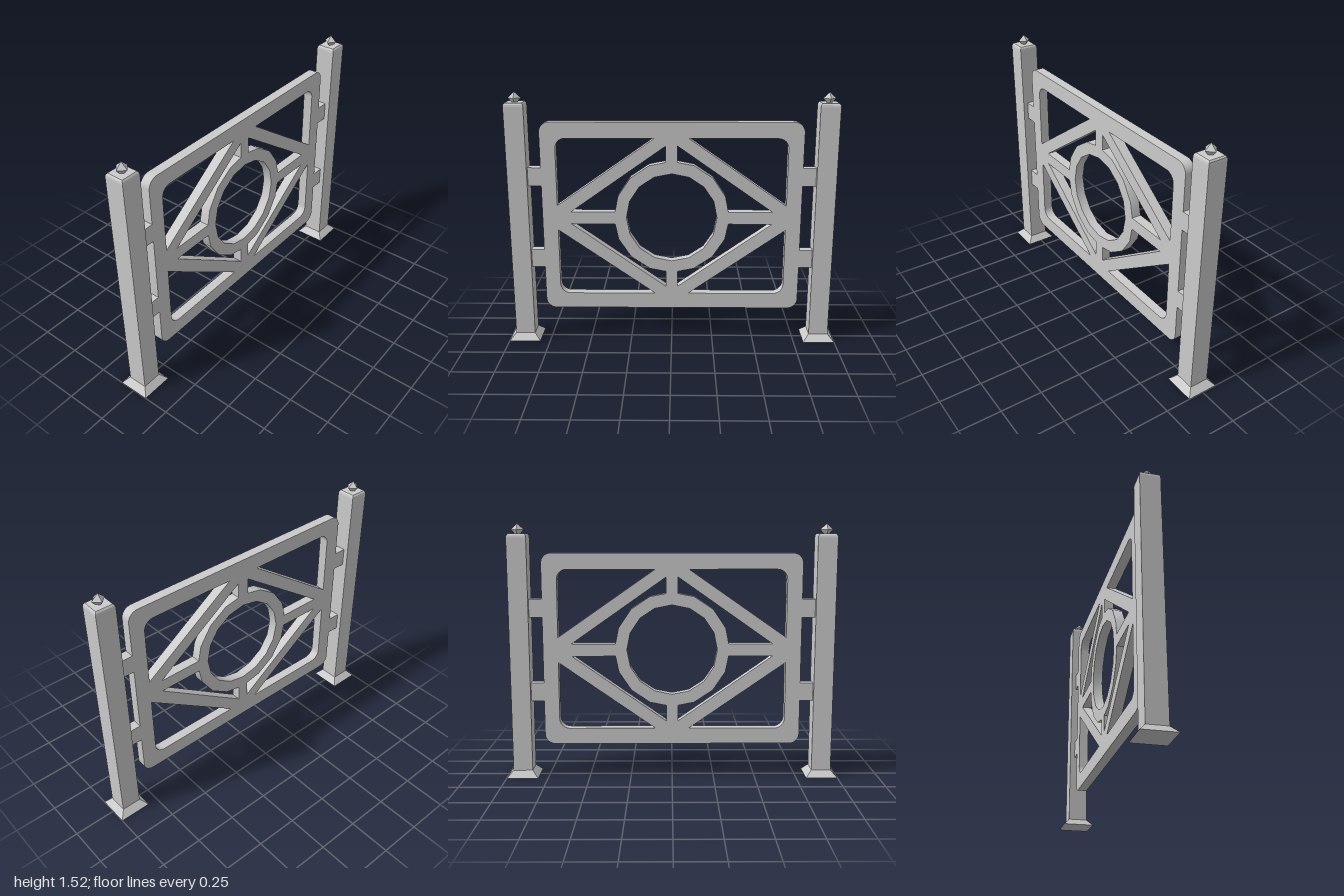
import * as THREE from 'three';
import { toCreasedNormals } from 'three/addons/utils/BufferGeometryUtils.js';

const CY = 0.775; // height of the panel centre
const HALF_T = 0.029; // half thickness of the panel
const QUADRANTS = [[1, 1], [-1, 1], [-1, -1], [1, -1]];

const grey = new THREE.MeshStandardMaterial({ color: 0xcccccc });
const flatGrey = new THREE.MeshStandardMaterial({ color: 0xcccccc, flatShading: true });

function addMesh(parent, name, geometry, material) {
  const mesh = new THREE.Mesh(geometry, material);
  mesh.name = name;
  parent.add(mesh);
  return mesh;
}

// Quarter-round corner points about (cx, cy), from angle 0 to 90 degrees
function arc(cx, cy, r, from = 0, to = Math.PI / 2, steps = 8) {
  return Array.from({ length: steps + 1 }, (_, i) => {
    const a = from + (to - from) * i / steps;
    return new THREE.Vector2(cx + r * Math.cos(a), cy + r * Math.sin(a));
  });
}

const mirrored = (points, sx, sy) => points.map(p => new THREE.Vector2(p.x * sx, p.y * sy));

// Fretwork panel: rounded frame, diamond braces, spokes and ring in one cut sheet
function panelGeometry() {
  const v = (x, y) => new THREE.Vector2(x, y);
  const corner = arc(0.71, 0.515, 0.06);
  const outline = QUADRANTS.flatMap(([sx, sy]) => {
    const pts = mirrored(corner, sx, sy);
    return sx * sy > 0 ? pts : pts.reverse();
  });
  const shape = new THREE.Shape(outline);

  // Opening outside the diamond, and opening between diamond and ring
  const outer = [v(0.68, 0.075), ...arc(0.62, 0.42, 0.06), v(0.1, 0.48)];
  const ringStep = Math.PI / 8;
  const inner = [
    v(0.6, 0.037), v(0.035, 0.435), v(0.035, 0.338),
    ...arc(0, 0, 0.345, 3 * ringStep, ringStep, 2),
    v(0.338, 0.037),
  ];
  for (const [sx, sy] of QUADRANTS) {
    shape.holes.push(new THREE.Path(mirrored(outer, sx, sy)));
    shape.holes.push(new THREE.Path(mirrored(inner, sx, sy)));
  }
  shape.holes.push(new THREE.Path(arc(0, 0, 0.27, 0, Math.PI * 2, 16).slice(0, 16)));

  const geometry = new THREE.ExtrudeGeometry(shape, { depth: HALF_T * 2, bevelEnabled: false });
  geometry.translate(0, 0, -HALF_T).rotateY(-Math.PI / 2).translate(0, CY, 0);
  return toCreasedNormals(geometry, 0.5);
}

// Four-sided solid from [half width, height] pairs
function squareLathe(profile, scale = 1) {
  return new THREE.LatheGeometry(profile.map(([r, y]) => new THREE.Vector2(r * scale, y)), 4);
}

function createPost(name) {
  const post = new THREE.Group();
  post.name = name;
  const base = squareLathe([[0, 0], [0.095, 0], [0.058, 0.04], [0, 0.04]], Math.SQRT2);
  addMesh(post, 'flaredBase', base.rotateY(Math.PI / 4), flatGrey);
  const shaft = squareLathe(
    [[0, 0.035], [0.058, 0.035], [0.058, 1.44], [0.056, 1.452], [0.049, 1.461], [0, 1.461]], Math.SQRT2);
  addMesh(post, 'shaft', shaft.rotateY(Math.PI / 4), flatGrey);
  addMesh(post, 'finial', squareLathe([[0, 1.458], [0.014, 1.458], [0.038, 1.485], [0, 1.52]]), flatGrey);
  return post;
}

export function createModel() {
  const model = new THREE.Group();
  model.name = 'fenceSection';
  addMesh(model, 'fretworkPanel', panelGeometry(), grey);

  for (const [side, s] of [['front', 1], ['back', -1]]) {
    const post = createPost(side + 'Post');
    post.position.z = s * 0.905;
    model.add(post);

    // Tabs joining the panel to the post
    for (const [level, y] of [['Upper', 1.025], ['Lower', 0.52]]) {
      const tab = addMesh(model, side + level + 'Tab', new THREE.BoxGeometry(HALF_T * 2, 0.11, 0.084), grey);
      tab.position.set(0, y, s * 0.809);
    }
  }
  return model;
}
